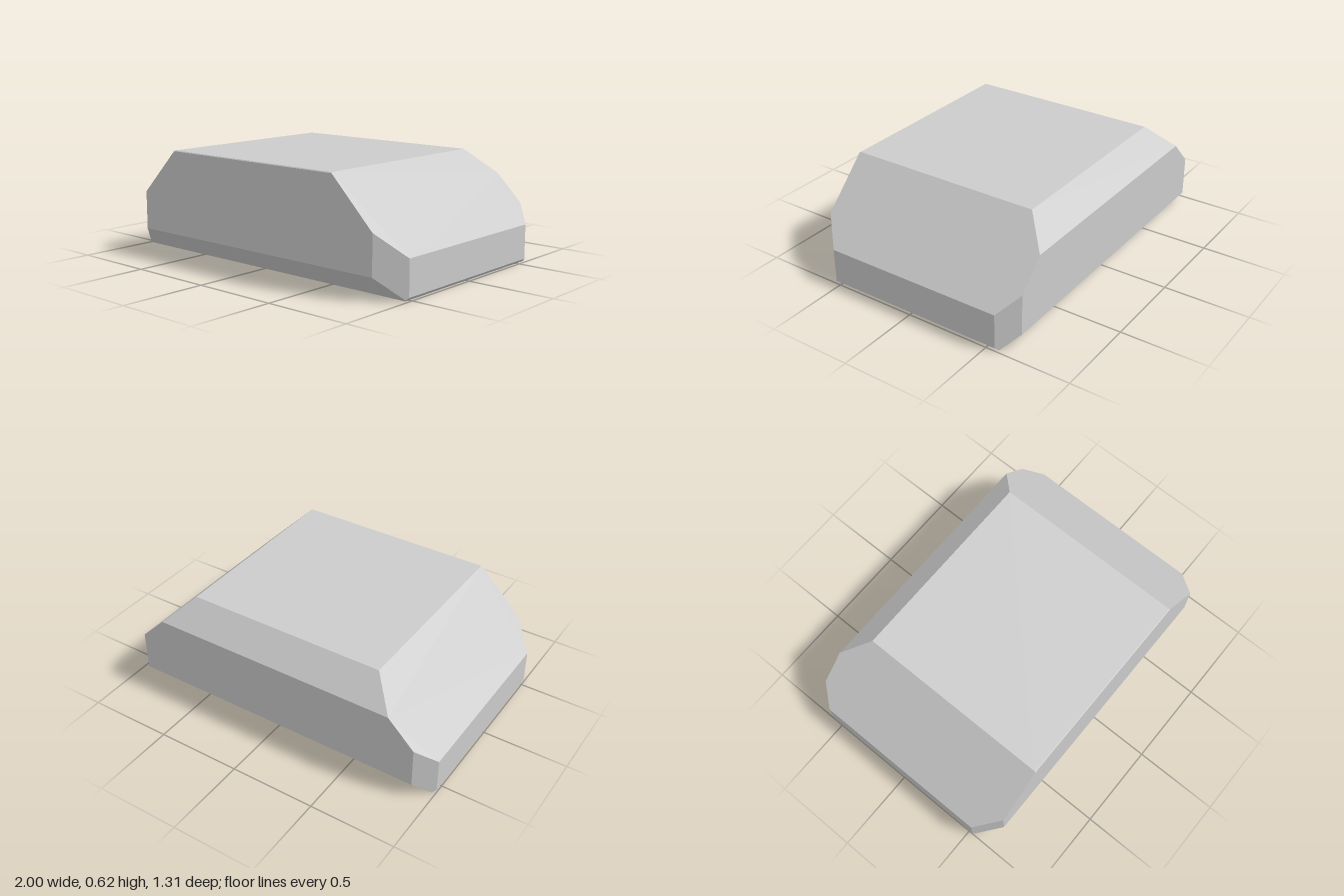
import * as THREE from 'three';
import { ConvexGeometry } from 'three/addons/geometries/ConvexGeometry.js';

// Corners of the left half of the bevelled block; the right half is mirrored.
const HALF = [
  // top panel: thin front bevel, wide back bevel
  [0.6, 0.62, 0.65], [0.605, 0.615, 0.655],
  [0.6, 0.62, -0.51], [0.745, 0.475, -0.655],
  // front corner chamfer
  [0.87, 0.35, 0.655], [0.87, 0.125, 0.655], [1, 0.22, 0.525], [1, 0.02, 0.525],
  // back corner chamfer
  [0.9, 0.32, -0.655], [0.9, 0.085, -0.655], [1, 0.22, -0.555], [1, 0.02, -0.555],
  // lower bevels and base
  [0.9875, 0.0075, 0.5375], [0.98, 0, 0.53],
  [0.9825, 0.0025, -0.5725], [0.98, 0, -0.57],
];

export function createModel() {
  const group = new THREE.Group();
  group.name = 'bevelledBlock';

  const points = HALF.flatMap(([x, y, z]) => [
    new THREE.Vector3(x, y, z),
    new THREE.Vector3(-x, y, z),
  ]);

  const body = new THREE.Mesh(
    new ConvexGeometry(points),
    new THREE.MeshStandardMaterial({ color: 0xcccccc, flatShading: true })
  );
  body.name = 'body';
  group.add(body);
  return group;
}
